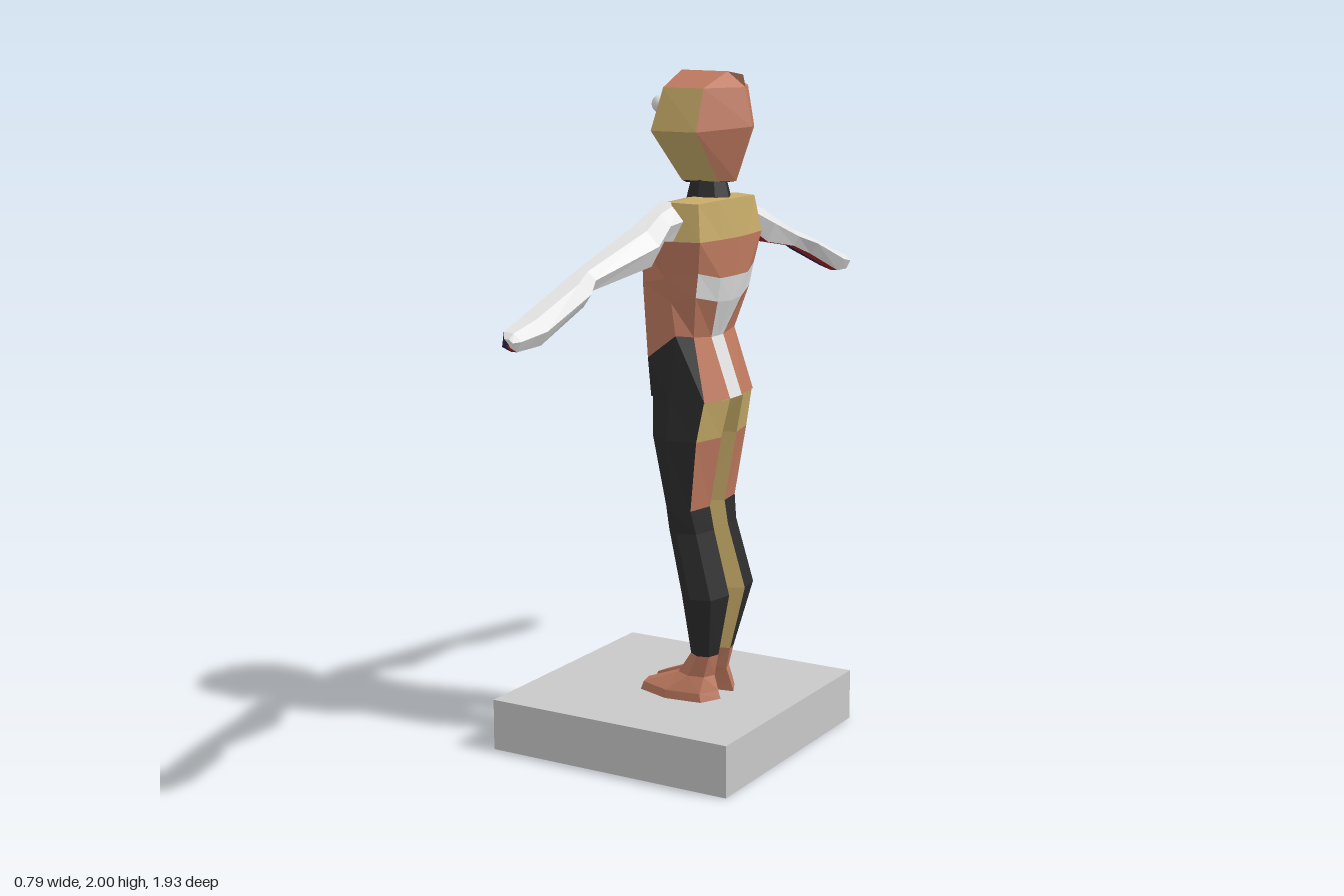
import * as THREE from 'three';

const COLORS = {
  terracotta: 0xbf7a60, gold: 0xc6aa68, black: 0x2c2c2c, white: 0xe2e2e2,
  grey: 0xb4b4b4, stone: 0xc8c8c8, navy: 0x28254c, red: 0xa3222a,
};

export function createModel() {
  const model = new THREE.Group();
  const mats = {};
  for (const [name, color] of Object.entries(COLORS)) {
    mats[name] = new THREE.MeshStandardMaterial({ color });
    mats[name].name = name;
  }
  const add = (name, geometry, mat, x = 0, y = 0, z = 0) => {
    const mesh = new THREE.Mesh(geometry, mat);
    mesh.name = name;
    mesh.position.set(x, y, z);
    model.add(mesh);
    return mesh;
  };

  // Faceted skin over rows of points; paint(row, column) names the colour of each cell
  function skin(name, rows, paint, closed, mirror) {
    const buckets = {};
    const n = rows[0].length;
    for (let r = 0; r < rows.length - 1; r++) {
      for (let c = 0; c < (closed ? n : n - 1); c++) {
        const k = (c + 1) % n;
        const [a, b, d, e] = [rows[r][c], rows[r][k], rows[r + 1][c], rows[r + 1][k]];
        const out = (buckets[paint(r, c)] ??= []);
        for (const tri of [[a, d, e], [a, e, b]]) {
          const p = tri.map(([x, y, z]) => new THREE.Vector3(x, y, mirror ? -z : z));
          if (mirror) p.reverse();
          if (new THREE.Triangle(...p).getArea() > 1e-8) p.forEach(v => out.push(v.x, v.y, v.z));
        }
      }
    }
    const geometry = new THREE.BufferGeometry();
    const positions = [], list = [];
    for (const [color, values] of Object.entries(buckets)) {
      geometry.addGroup(positions.length / 3, values.length / 3, list.length);
      values.forEach(v => positions.push(v));
      list.push(mats[color]);
    }
    geometry.setAttribute('position', new THREE.Float32BufferAttribute(positions, 3));
    geometry.computeVertexNormals();
    add(name, geometry, list);
  }
  const pair = (name, rows, paint, closed = false) => {
    skin(name + 'Near', rows, paint, closed, false);
    skin(name + 'Far', rows, paint, closed, true);
  };

  // Plinth
  add('plinth', new THREE.BoxGeometry(0.79, 0.154, 0.79), mats.stone, -0.005, 0.077, -0.008);

  // Head: face centre, face edge, rear edge, rear ridge
  const head = [
    [[0.02, 2, 0], [0.02, 2, 0], [0.17, 1.998, 0], [0.22, 1.99, 0]],
    [[0.01, 1.95, 0], [0.035, 1.955, 0.13], [0.165, 1.955, 0.13], [0.228, 1.955, 0]],
    [[0.005, 1.84, 0], [0.015, 1.835, 0.165], [0.165, 1.835, 0.17], [0.25, 1.845, 0]],
    [[0.035, 1.68, 0], [0.05, 1.69, 0.05], [0.17, 1.69, 0.05], [0.2, 1.69, 0]],
    [[0.035, 1.68, 0], [0.05, 1.68, 0], [0.17, 1.685, 0], [0.2, 1.69, 0]],
  ];
  pair('head', head, (r, c) =>
    c === 0 || r === 3 ? 'black' : c === 2 || r === 0 ? 'terracotta' : 'gold');

  // Face details
  for (const s of [-1, 1]) add('eye', new THREE.SphereGeometry(0.026, 16, 12), mats.white, -0.01, 1.905, s * 0.068);
  add('nose', new THREE.BoxGeometry(0.02, 0.03, 0.03), mats.black, -0.002, 1.835, 0);
  add('mouth', new THREE.BoxGeometry(0.03, 0.03, 0.05), mats.grey, 0, 1.79, 0);

  // Neck
  const neck = new THREE.CylinderGeometry(0.05, 0.07, 0.08, 8).toNonIndexed();
  neck.computeVertexNormals();
  add('neck', neck, mats.black, 0.11, 1.665, 0);

  // Torso: front centre, front corner, side, back corner, stripe edge, back centre
  const torso = [
    [[0.1, 1.65, 0], [0.1, 1.65, 0], [0.1, 1.65, 0], [0.1, 1.65, 0], [0.1, 1.65, 0], [0.1, 1.65, 0]],
    [[0.025, 1.63, 0], [0.03, 1.63, 0.12], [0.1, 1.638, 0.18], [0.17, 1.635, 0.165], [0.187, 1.64, 0.08], [0.19, 1.64, 0]],
    [[-0.06, 1.52, 0], [-0.035, 1.51, 0.13], [0.05, 1.53, 0.21], [0.185, 1.53, 0.182], [0.2, 1.53, 0.08], [0.205, 1.53, 0]],
    [[-0.055, 1.4, 0], [-0.03, 1.4, 0.135], [0.07, 1.42, 0.178], [0.17, 1.44, 0.165], [0.195, 1.42, 0.08], [0.2, 1.42, 0]],
    [[-0.053, 1.33, 0], [-0.028, 1.33, 0.13], [0.08, 1.35, 0.162], [0.158, 1.37, 0.158], [0.18, 1.35, 0.07], [0.185, 1.345, 0]],
    [[-0.048, 1.19, 0], [-0.02, 1.18, 0.125], [0.09, 1.255, 0.155], [0.13, 1.25, 0.12], [0.14, 1.24, 0.035], [0.142, 1.24, 0]],
    [[-0.028, 1.065, 0], [-0.018, 1.065, 0.11], [0.08, 1.065, 0.166], [0.18, 1.065, 0.145], [0.203, 1.065, 0.035], [0.203, 1.065, 0]],
  ];
  pair('torso', torso, (r, c) => {
    if (r < 2) return 'gold';
    if (c === 0) return r === 5 ? 'black' : 'grey';
    if (r === 5) return c < 3 ? 'black' : c === 4 ? 'white' : 'terracotta';
    if (c > 2 && r === 3) return 'white';
    return c === 4 && r === 4 ? 'white' : 'terracotta';
  });

  // Legs: [y, front x, back x, inner z, outer z]
  const ring = ([y, f, b, i, o]) => {
    const px = t => f + (b - f) * t, pz = t => i + (o - i) * t;
    return [[f, y, pz(0.1)], [px(0.05), y, pz(0.62)], [px(0.45), y, o],
      [px(0.88), y, pz(0.86)], [b, y, pz(0.22)], [px(0.55), y, i]];
  };
  const legs = [
    [1.075, 0.08, 0.09, 0.07, 0.08], [1.065, -0.028, 0.205, 0.003, 0.166],
    [0.95, -0.022, 0.18, 0.01, 0.173], [0.74, 0.02, 0.142, 0.014, 0.152],
    [0.67, 0.025, 0.155, 0.015, 0.138], [0.48, 0.072, 0.21, 0.02, 0.148],
    [0.29, 0.085, 0.168, 0.022, 0.085],
  ].map(ring);
  pair('leg', legs, (r, c) => {
    if (c === 0 || c > 3) return 'gold';
    if (c < 3) return 'black';
    return r < 2 ? 'gold' : r === 2 ? 'terracotta' : 'black';
  }, true);

  // Bare feet
  const feet = [
    [0.29, 0.085, 0.168, 0.022, 0.085], [0.225, 0.04, 0.155, 0.022, 0.085],
    [0.18, -0.078, 0.17, 0.018, 0.115], [0.155, -0.088, 0.178, 0.018, 0.118],
  ].map(ring);
  pair('foot', feet, () => 'terracotta', true);

  // Outstretched arms: [z, top y, bottom y, front x, back x]
  const arms = [
    [0.16, 1.64, 1.53, 0.04, 0.135], [0.24, 1.615, 1.535, 0.043, 0.125],
    [0.34, 1.58, 1.477, 0.047, 0.147], [0.59, 1.492, 1.436, 0.035, 0.1],
    [0.66, 1.468, 1.405, 0.032, 0.13], [0.86, 1.4, 1.33, 0.035, 0.125],
    [0.95, 1.375, 1.325, 0.045, 0.105], [0.967, 1.36, 1.338, 0.06, 0.09],
    [0.967, 1.349, 1.349, 0.075, 0.075],
  ].map(([z, t, b, f, k]) => {
    const w = k - f, h = t - b;
    return [[f + w * 0.1, t, z], [f + w * 0.6, t - h * 0.05, z], [k, t - h * 0.45, z],
      [f + w * 0.75, b, z], [f + w * 0.45, b, z], [f, b + h * 0.2, z]];
  });
  pair('arm', arms, (r, c) => (c < 3 ? 'white' : c === 3 ? 'red' : 'navy'), true);

  return model;
}
